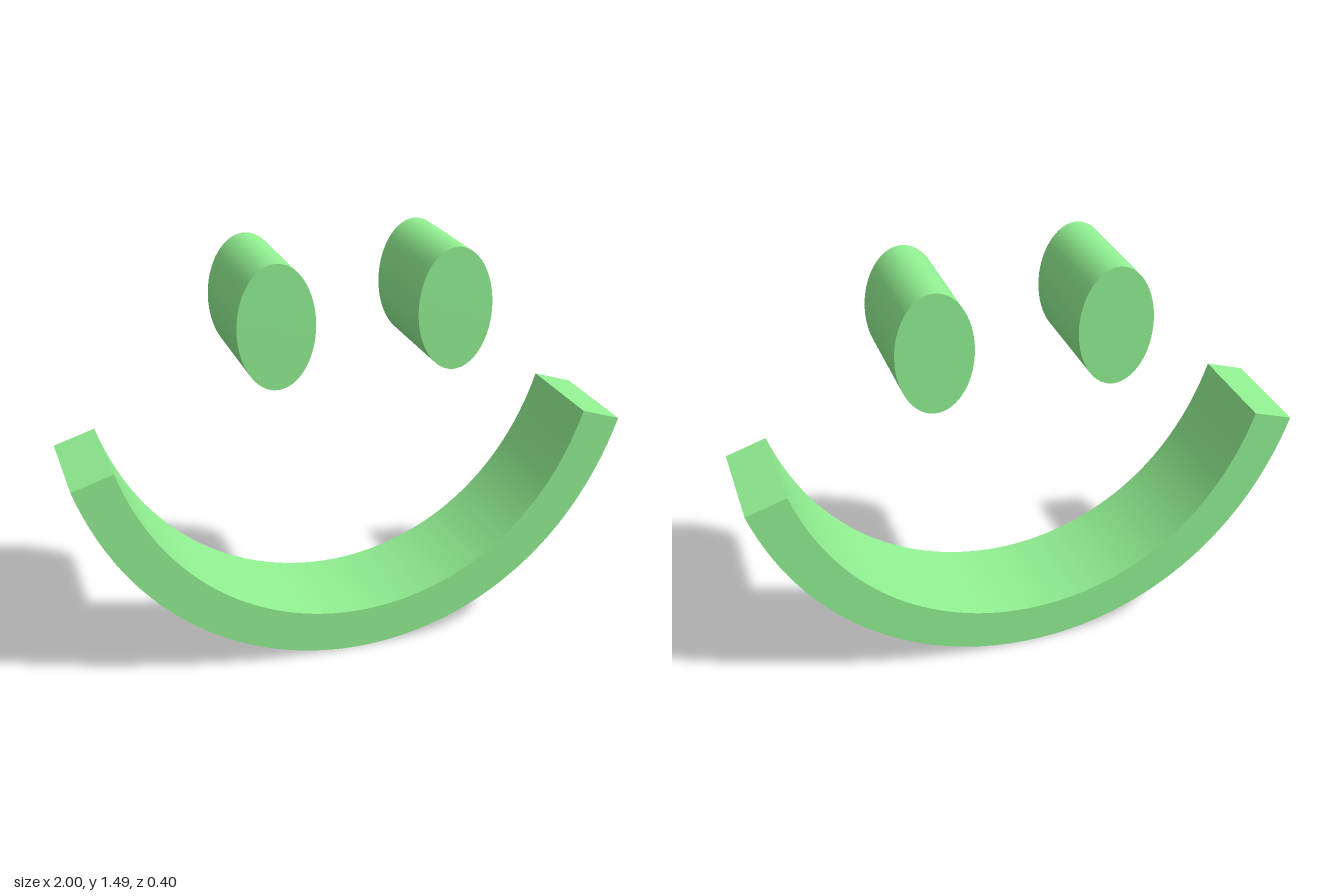
import * as THREE from 'three';
import { toCreasedNormals } from 'three/addons/utils/BufferGeometryUtils.js';

const DEPTH = 0.4;

export function createModel() {
  const group = new THREE.Group();
  const material = new THREE.MeshStandardMaterial({ color: 0x90ee90 });

  // Extrude a flat outline, centred in depth, with smooth curved sides
  function addPart(name, shape, curveSegments) {
    const geometry = new THREE.ExtrudeGeometry(shape, { depth: DEPTH, bevelEnabled: false, curveSegments });
    geometry.translate(0, 0, -DEPTH / 2);
    const mesh = new THREE.Mesh(toCreasedNormals(geometry, Math.PI / 6), material);
    mesh.name = name;
    group.add(mesh);
  }

  // Mouth: a band of constant width along a curve, with square ends
  const midline = new THREE.CubicBezierCurve(
    new THREE.Vector2(-0.928, 0.804), new THREE.Vector2(-0.625, -0.165),
    new THREE.Vector2(0.615, -0.165), new THREE.Vector2(0.928, 0.804));
  const half = 0.076, steps = 64;
  const outer = [], inner = [];
  for (let i = 0; i <= steps; i++) {
    const p = midline.getPoint(i / steps), t = midline.getTangent(i / steps);
    const normal = new THREE.Vector2(-t.y, t.x).multiplyScalar(half);
    outer.push(p.clone().sub(normal));
    inner.push(p.clone().add(normal));
  }
  addPart('mouth', new THREE.Shape([...outer, ...inner.reverse()]), 1);

  // Eyes: upright elliptical cylinders
  for (const [name, x] of [['rightEye', -0.293], ['leftEye', 0.338]]) {
    const ellipse = new THREE.Shape();
    ellipse.absellipse(x, 1.27, 0.135, 0.217, 0, Math.PI * 2);
    addPart(name, ellipse, 32);
  }
  return group;
}
